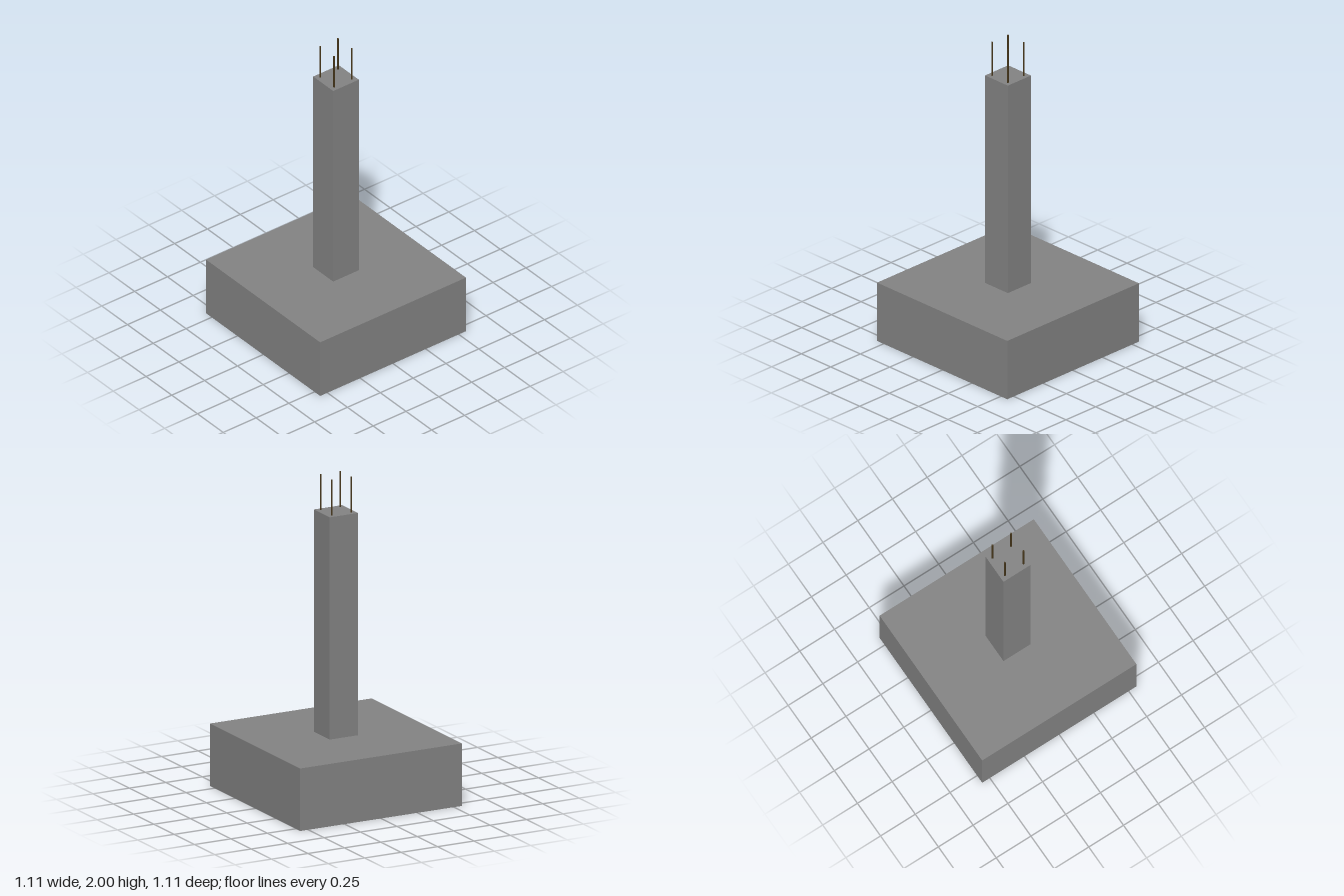
import * as THREE from 'three';

export function createModel() {
  const model = new THREE.Group();
  const concrete = new THREE.MeshStandardMaterial({ color: 0x838383 });
  const steel = new THREE.MeshStandardMaterial({ color: 0x46361a });

  const baseTop = 0.39, columnTop = 1.777, rodTop = 2;

  // Adds a mesh standing between two heights
  function add(name, geometry, material, bottom, top, x = 0, z = 0) {
    const mesh = new THREE.Mesh(geometry, material);
    mesh.name = name;
    mesh.position.set(x, (bottom + top) / 2, z);
    model.add(mesh);
  }

  // Square footing and the column on it
  add('footing', new THREE.BoxGeometry(1.11, baseTop, 1.11), concrete, 0, baseTop);
  add('column', new THREE.BoxGeometry(0.195, columnTop - baseTop, 0.195), concrete, baseTop, columnTop);

  // Four reinforcing rods rising out of the column's corners
  const rodBottom = columnTop - 0.02;
  const rod = new THREE.CylinderGeometry(0.0055, 0.0055, rodTop - rodBottom, 12);
  for (const x of [-0.067, 0.067]) {
    for (const z of [-0.067, 0.067]) {
      add('reinforcingRod', rod, steel, rodBottom, rodTop, x, z);
    }
  }

  return model;
}
